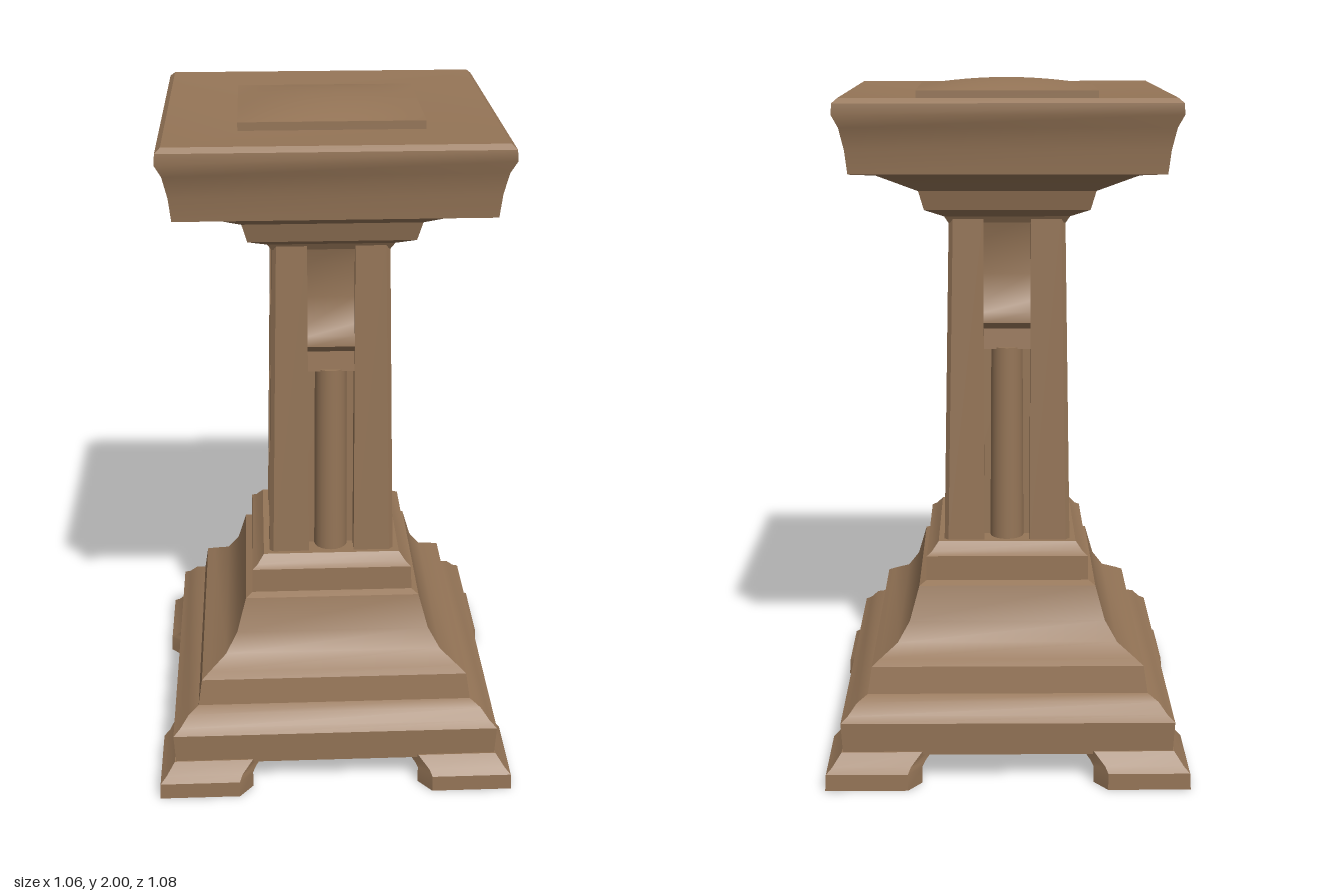
import * as THREE from 'three';
import { toCreasedNormals } from 'three/addons/utils/BufferGeometryUtils.js';

const stone = new THREE.MeshStandardMaterial({ color: 0x957557 });
stone.name = 'brown stone';

// Closed solid through rings of [x, y, z], each running counter-clockwise from above.
function loft(rings, crease = 0.6) {
  const n = rings[0].length, last = (rings.length - 1) * n, index = [];
  for (let r = 0; r < rings.length - 1; r++) {
    for (let i = 0; i < n; i++) {
      const a = r * n + i, b = r * n + (i + 1) % n;
      index.push(a, b, b + n, a, b + n, a + n);
    }
  }
  for (let i = 1; i < n - 1; i++) {
    index.push(0, i + 1, i, last, last + i, last + i + 1);
  }
  const g = new THREE.BufferGeometry();
  g.setAttribute('position', new THREE.Float32BufferAttribute(rings.flat(2), 3));
  g.setIndex(index);
  return toCreasedNormals(g, crease);
}

// Rectangular ring with half sizes hx, hz.
const square = (y, hx, hz) => [[hx, y, hz], [hx, y, -hz], [-hx, y, -hz], [-hx, y, hz]];

// Square moulding from [y, half width] pairs, a little deeper than wide.
const moulding = (profile) => loft(profile.map(([y, h]) => square(y, h, h + 0.012)));

// Mirror a ring into one of the four corners, keeping its direction.
function corner(points, y, sx, sz) {
  const ring = points.map(([x, z]) => [x * sx, y, z * sz]);
  return sx * sz < 0 ? ring.reverse() : ring;
}

// Profile of [outward, y] points swept across a panel facing +z.
function sweep(points, width) {
  const shape = new THREE.Shape(points.map(([o, y]) => new THREE.Vector2(o, y)));
  const g = new THREE.ExtrudeGeometry(shape, { depth: width, bevelEnabled: false });
  g.translate(0, 0, -width / 2).rotateY(-Math.PI / 2);
  return toCreasedNormals(g, 0.6);
}

export function createModel() {
  const model = new THREE.Group();
  model.name = 'pedestal';
  const add = (name, geometry, parent = model) => {
    const mesh = new THREE.Mesh(geometry, stone);
    mesh.name = name;
    parent.add(mesh);
    return mesh;
  };

  // Stepped base and flared capital
  add('base', moulding([
    [0.09, 0.48], [0.19, 0.485], [0.205, 0.465], [0.235, 0.44], [0.25, 0.41], [0.33, 0.398],
    [0.345, 0.375], [0.375, 0.325], [0.43, 0.29], [0.53, 0.262], [0.54, 0.242], [0.615, 0.24],
    [0.625, 0.225], [0.65, 0.205],
  ]));
  add('capital', moulding([
    [1.6, 0.168], [1.62, 0.18], [1.645, 0.235], [1.7, 0.25], [1.725, 0.3], [1.755, 0.36],
    [1.765, 0.43], [1.83, 0.437], [1.89, 0.45], [1.925, 0.467], [1.955, 0.465], [1.968, 0.45],
    [1.952, 0.26],
  ]));

  // Low domed cushion on the top
  const dome = new THREE.PlaneGeometry(0.51, 0.46, 16, 16).rotateX(-Math.PI / 2);
  const p = dome.attributes.position;
  for (let i = 0; i < p.count; i++) {
    const u = p.getX(i) / 0.255, v = p.getZ(i) / 0.23;
    p.setY(i, 1.976 + 0.024 * (1 - u * u) * (1 - v * v));
  }
  dome.computeVertexNormals();
  add('topDome', dome);
  add('topDomeEdge', loft([square(1.945, 0.255, 0.23), square(1.975, 0.255, 0.23)]));

  // Corner feet and tapered corner posts
  const foot = [[0.53, 0.54], [0.53, 0.29], [0.49, 0.25], [0.42, 0.26], [0.27, 0.41], [0.25, 0.49], [0.29, 0.54]];
  const footAt = (limit, grow) => foot.map(([x, z]) =>
    [Math.min(x < 0.5 ? x - grow : x, limit), Math.min(z < 0.5 ? z - grow : z, limit + 0.012)]);
  const post = (hx, hz) => [[hx, hz - 0.012], [hx, 0.105], [0.068, 0.105], [0.068, hz], [hx - 0.012, hz]];
  for (const sx of [1, -1]) {
    for (const sz of [1, -1]) {
      add('foot', loft([[0, 0.53, 0], [0.05, 0.527, 0], [0.065, 0.51, 0.008], [0.1, 0.484, 0.04]]
        .map(([y, limit, grow]) => corner(footAt(limit, grow), y, sx, sz))));
      add('cornerPost', loft([
        corner(post(0.188, 0.203), 0.64, sx, sz),
        corner(post(0.167, 0.187), 1.63, sx, sz),
      ], 0.3));
    }
  }
  add('columnCore', loft([square(0.64, 0.16, 0.145), square(1.63, 0.143, 0.135)]));

  // Front and back niches: round shaft below a carved bracket
  for (const turn of [0, Math.PI]) {
    const niche = new THREE.Group();
    niche.name = 'niche';
    niche.rotation.y = turn;
    model.add(niche);
    add('shaft', new THREE.CylinderGeometry(0.046, 0.05, 0.59, 20), niche).position.set(0, 0.94, 0.148);
    add('bracket', sweep([
      [0.12, 1.23], [0.182, 1.23], [0.176, 1.29], [0.192, 1.31], [0.188, 1.34], [0.165, 1.37],
      [0.154, 1.45], [0.158, 1.55], [0.18, 1.62], [0.12, 1.62],
    ], 0.138), niche);
  }

  // Side panels: shallow carved relief
  for (const side of [1, -1]) {
    const panel = new THREE.Group();
    panel.name = 'sidePanel';
    panel.rotation.y = side * Math.PI / 2;
    model.add(panel);
    add('panelSill', sweep([[0.13, 0.65], [0.184, 0.65], [0.176, 0.67], [0.155, 0.7], [0.13, 0.7]], 0.21), panel);
    add('panelBand', sweep([[0.13, 1.2], [0.15, 1.2], [0.163, 1.23], [0.156, 1.28], [0.13, 1.28]], 0.21), panel);
    add('panelLedge', sweep([[0.13, 1.34], [0.158, 1.36], [0.166, 1.385], [0.148, 1.41], [0.13, 1.41]], 0.16), panel);
    add('panelHead', sweep([[0.13, 1.5], [0.148, 1.52], [0.164, 1.57], [0.168, 1.62], [0.13, 1.62]], 0.21), panel);
    if (side < 0) {
      const medallion = add('medallion', new THREE.SphereGeometry(1, 24, 12), panel);
      medallion.position.set(0, 1.06, 0.15);
      medallion.scale.set(0.065, 0.1, 0.02);
    }
  }
  return model;
}
